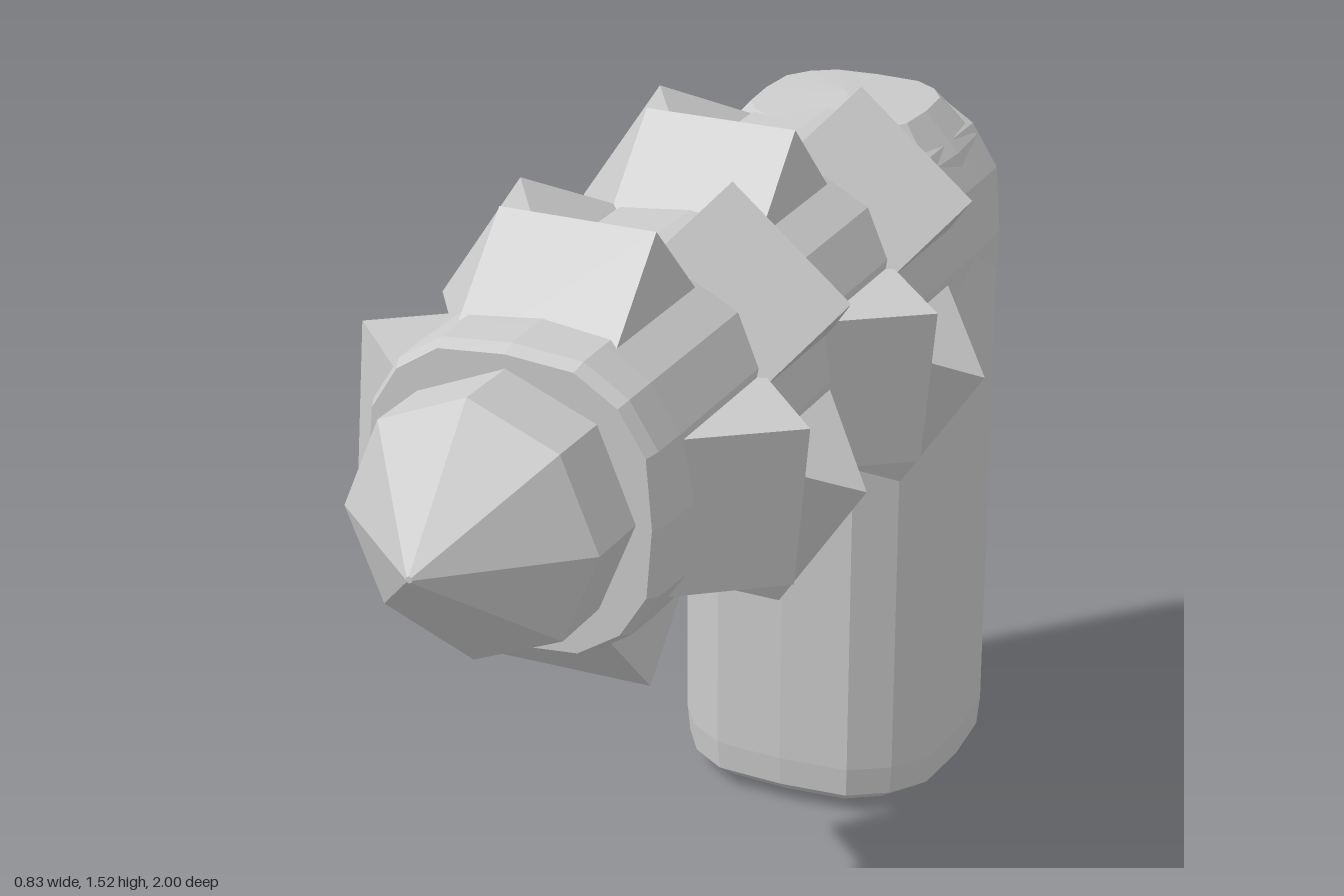
import * as THREE from 'three';

const material = new THREE.MeshStandardMaterial({ color: 0xcccccc, flatShading: true, side: THREE.DoubleSide });
const AXIS_Y = 1.118;

// Full rounded-square outline from the points of one quadrant (angle 0 up to, not including, 90 degrees)
function outline(quadrant) {
  const points = [];
  for (let q = 0; q < 4; q++) {
    for (const [u, v] of quadrant) {
      points.push([[u, v], [-v, u], [-u, -v], [v, -u]][q]);
    }
  }
  return points;
}

// Closed loft along y: each ring is [height, scale]
function loft(section, rings) {
  const positions = [];
  const n = section.length;
  const point = ([h, s], i) => [section[i % n][0] * s, h, section[i % n][1] * s];
  for (let r = 0; r < rings.length - 1; r++) {
    const [low, high] = [rings[r], rings[r + 1]];
    for (let i = 0; i < n; i++) {
      const a = point(low, i), b = point(low, i + 1), c = point(high, i), d = point(high, i + 1);
      if (low[1] > 0) positions.push(...a, ...c, ...b);
      if (high[1] > 0) positions.push(...b, ...c, ...d);
    }
  }
  const geometry = new THREE.BufferGeometry();
  geometry.setAttribute('position', new THREE.Float32BufferAttribute(positions, 3));
  geometry.computeVertexNormals();
  return geometry;
}

function addMesh(parent, name, geometry) {
  const mesh = new THREE.Mesh(geometry, material);
  mesh.name = name;
  parent.add(mesh);
  return mesh;
}

export function createModel() {
  const model = new THREE.Group();
  model.name = 'studdedClub';

  // Upright handle with bevelled foot and rounded elbow top
  const handleSection = outline([[0.275, 0], [0.265, 0.14], [0.215, 0.215], [0.14, 0.265]]);
  const handle = addMesh(model, 'handle', loft(handleSection, [
    [0, 0], [0.012, 0.85], [0.04, 0.98], [0.1, 1], [1.12, 1],
    [1.23, 0.95], [1.31, 0.84], [1.385, 0.6], [1.4, 0],
  ]));
  handle.position.z = -0.72;

  // Horizontal barrel, running forward from the elbow
  const barrelSection = outline([[0.275, 0], [0.264, 0.13], [0.212, 0.212], [0.13, 0.264]]);
  const barrel = addMesh(model, 'barrel', loft(barrelSection, [
    [-0.992, 0], [-0.985, 0.42], [-0.95, 0.72], [-0.85, 0.99], [-0.75, 1],
    [0.57, 0.99], [0.645, 0.98], [0.67, 0.94], [0.67, 0],
  ]));
  barrel.rotation.x = Math.PI / 2;
  barrel.position.y = AXIS_Y;

  // Eight-sided collar and pointed nose
  const collar = addMesh(model, 'collar', new THREE.CylinderGeometry(0.23, 0.23, 0.2, 8));
  collar.rotation.x = Math.PI / 2;
  collar.position.set(0, 1.122, 0.7);
  const nose = addMesh(model, 'nose', new THREE.CylinderGeometry(0.018, 0.23, 0.19, 8));
  nose.rotation.x = Math.PI / 2;
  nose.position.set(0, 1.122, 0.895);
  const tip = addMesh(model, 'noseTip', new THREE.CylinderGeometry(0.006, 0.018, 0.01, 8));
  tip.rotation.x = Math.PI / 2;
  tip.position.set(0, 1.122, 0.995);

  // Studs: cubes on edge in staggered rings; [degrees from top toward +x, z]
  const side = 0.287;
  const rings = [
    [[0, 0.41], [95, 0.405], [180, 0.44], [-86, 0.44]],
    [[40, 0.13], [124, 0.155], [-140, 0.16], [-56, 0.12]],
  ];
  const studGeometry = new THREE.BoxGeometry(side, side, side);
  studGeometry.rotateX(Math.PI / 4);
  studGeometry.translate(0, 0.203, 0);
  const studs = new THREE.Group();
  studs.name = 'studs';
  for (const shift of [0, -0.56]) {
    for (const ring of rings) {
      for (const [degrees, z] of ring) {
        const stud = addMesh(studs, 'stud', studGeometry);
        stud.rotation.z = -THREE.MathUtils.degToRad(degrees);
        stud.position.set(0, AXIS_Y - 0.005, z + shift);
      }
    }
  }
  model.add(studs);
  return model;
}
